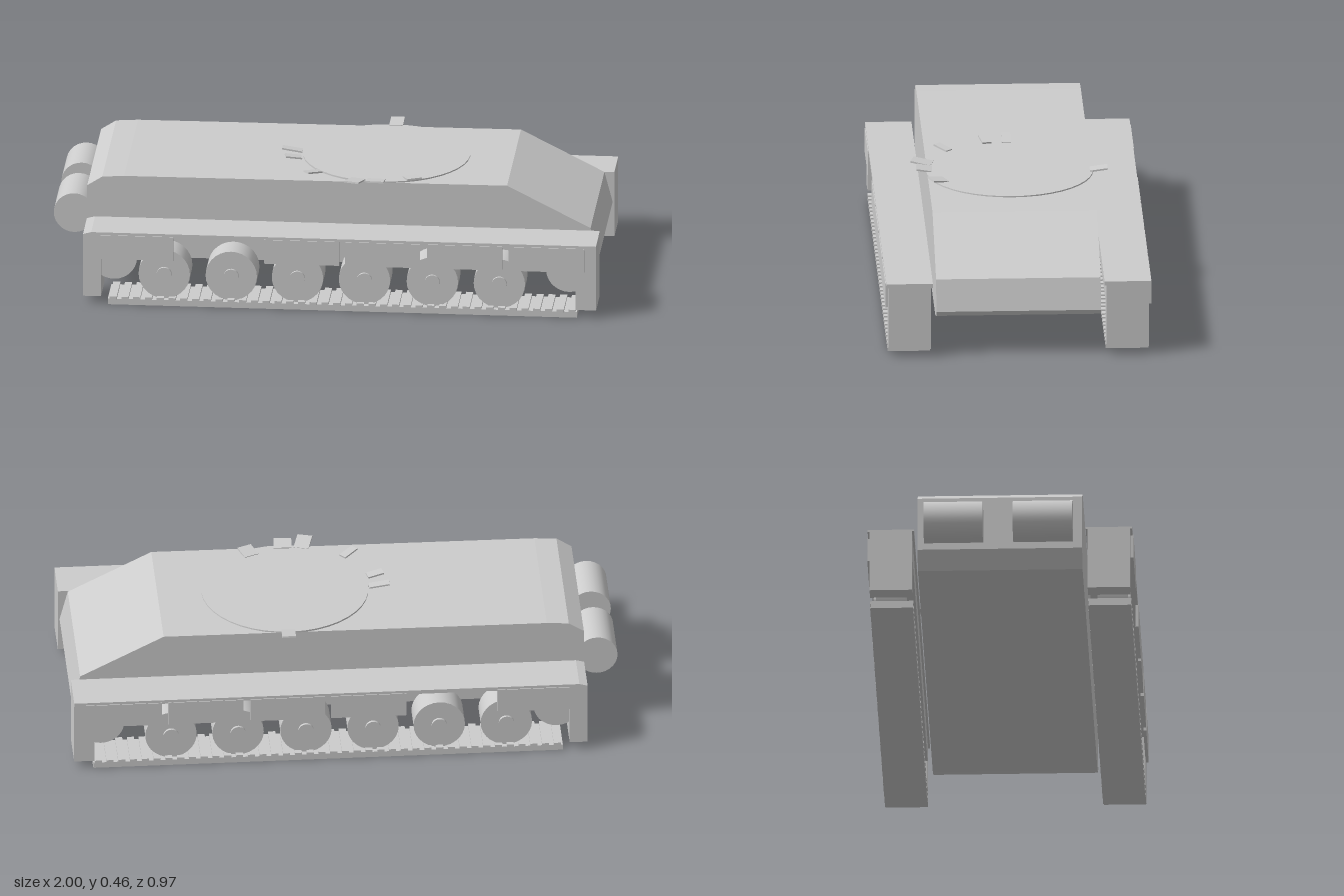
import * as THREE from 'three';

export function createModel() {
  const group = new THREE.Group();
  group.name = 'trackedHull';
  const grey = new THREE.MeshStandardMaterial({ color: 0xcccccc });
  grey.name = 'plain grey';

  const add = (parent, name, geometry, x = 0, y = 0, z = 0) => {
    const mesh = new THREE.Mesh(geometry, grey);
    mesh.name = name;
    mesh.position.set(x, y, z);
    parent.add(mesh);
    return mesh;
  };
  // Box given by its limits on each axis
  const box = (parent, name, x0, x1, y0, y1, z0, z1) =>
    add(parent, name, new THREE.BoxGeometry(x1 - x0, y1 - y0, z1 - z0),
      (x0 + x1) / 2, (y0 + y1) / 2, (z0 + z1) / 2);
  // Side profile extruded across z
  const slab = (parent, name, points, z0, z1) => {
    const shape = new THREE.Shape(points.map(([x, y]) => new THREE.Vector2(x, y)));
    return add(parent, name, new THREE.ExtrudeGeometry(shape, { depth: z1 - z0, bevelEnabled: false }), 0, 0, z0);
  };
  // Cylinder lying along z
  const roller = (parent, name, r, x, y, z0, z1) =>
    add(parent, name, new THREE.CylinderGeometry(r, r, z1 - z0, 28).rotateX(Math.PI / 2), x, y, (z0 + z1) / 2);

  // Hull with sloped nose and chamfered tail
  slab(group, 'hull', [
    [-0.83, 0.125], [0.9, 0.125], [0.98, 0.15], [0.995, 0.17], [0.965, 0.285],
    [0.66, 0.44], [-0.74, 0.435], [-0.82, 0.43], [-0.875, 0.395], [-0.875, 0.19],
  ], -0.3, 0.3);

  // Rear drums
  roller(group, 'rearDrum', 0.075, -0.925, 0.275, 0.05, 0.267);
  roller(group, 'rearDrum', 0.075, -0.925, 0.275, -0.275, -0.06);

  // Turret ring on the deck
  const cx = 0.195, ringR = 0.305;
  add(group, 'turretRing', new THREE.CylinderGeometry(ringR, ringR, 0.006, 40), cx, 0.441, 0);

  // Bent tabs around the ring: x, z, length, width
  const tabs = [
    [0.205, -0.325, 0.065, 0.05], [-0.15, -0.002, 0.075, 0.033],
    [-0.14, 0.075, 0.06, 0.035], [-0.055, 0.232, 0.065, 0.03],
    [0.105, 0.315, 0.075, 0.055], [0.18, 0.31, 0.055, 0.065], [0.31, 0.265, 0.06, 0.055],
  ];
  for (const [x, z, length, width] of tabs) {
    const tab = add(group, 'ringTab', new THREE.BoxGeometry(length, 0.006, width).rotateZ(0.15), x, 0.448, z);
    tab.rotation.y = -Math.atan2(z, x - cx);
  }

  // Running gear, made once per side
  const wheelX = [-0.58, -0.335, -0.093, 0.152, 0.4, 0.645];
  const skirts = [[-0.812, -0.545], [-0.213, 0.062], [0.084, 0.357], [0.383, 0.657], [0.68, 0.957]];
  for (const side of [1, -1]) {
    const gear = new THREE.Group();
    gear.name = side > 0 ? 'leftRunningGear' : 'rightRunningGear';
    group.add(gear);
    const part = (name, x0, x1, y0, y1, a, b) =>
      box(gear, name, x0, x1, y0, y1, Math.min(side * a, side * b), Math.max(side * a, side * b));
    const wheel = (name, r, x, y, a, b) =>
      roller(gear, name, r, x, y, Math.min(side * a, side * b), Math.max(side * a, side * b));

    // Fender and end boxes
    slab(gear, 'fender', [[-0.875, 0.265], [1, 0.265], [1, 0.28], [-0.845, 0.28], [-0.875, 0.272]],
      side > 0 ? 0.313 : -0.482, side > 0 ? 0.482 : -0.313);
    part('rearEndBox', -0.875, -0.81, 0.03, 0.266, 0.32, 0.475);
    part('frontEndBox', 0.925, 1, 0.03, 0.266, 0.32, 0.475);
    part('innerWall', -0.81, 0.925, 0.18, 0.266, 0.32, 0.345);

    // Side skirts
    for (const [x0, x1] of skirts) part('skirt', x0, x1, 0.178, 0.27, 0.474, 0.485);

    // Road wheels and end wheels
    for (const x of wheelX) {
      wheel('roadWheel', 0.094, x, 0.117, 0.35, 0.458);
      wheel('wheelHub', 0.028, x, 0.117, 0.456, 0.468);
    }
    wheel('endWheel', 0.085, -0.765, 0.175, 0.35, 0.45);
    wheel('endWheel', 0.085, 0.9, 0.175, 0.35, 0.45);

    // Ground track with cross ribs
    part('track', -0.785, 0.93, 0, 0.022, 0.32, 0.475);
    for (let i = 0; i < 40; i++) {
      const x = -0.765 + i * 0.043;
      part('trackRib', x - 0.013, x + 0.013, 0.02, 0.031, 0.318, 0.477);
    }
  }
  return group;
}
